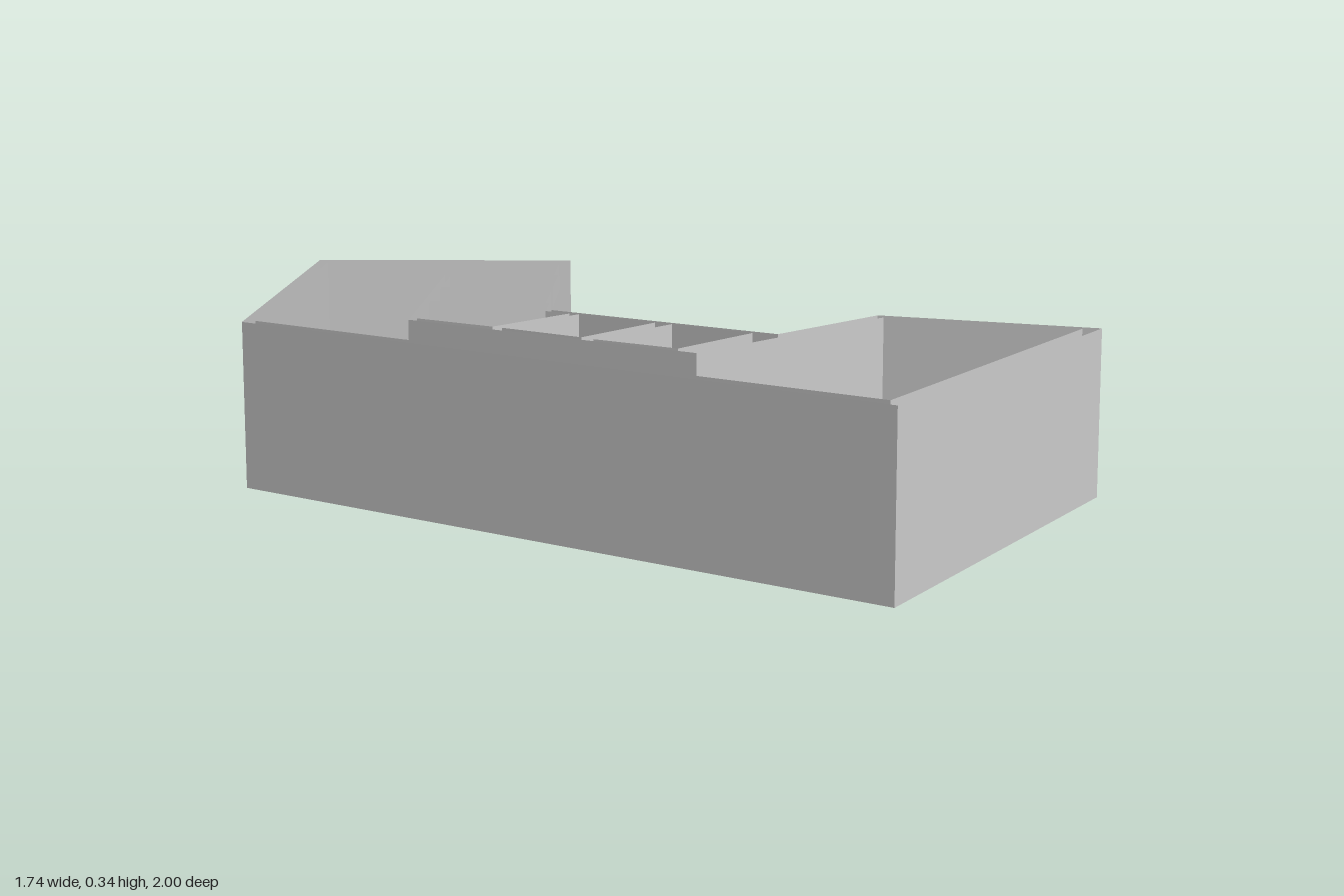
import * as THREE from 'three';

const H = 0.345, DOOR_H = 0.15, DOOR_W = 0.07, FLOOR_Y = 0.003;

// Plans as [x, z] corners
const OUTLINE = [[-0.87, -1], [-0.255, -1], [-0.25, -0.125], [0.215, 0.21], [0.43, -0.055], [0.865, 0.125], [0.388, 1], [-0.87, 0.055]];
const CORRIDOR = [[-0.845, -0.97], [-0.28, -0.97], [-0.28, -0.72], [-0.535, -0.72], [-0.535, 0.02], [0.055, 0.45],
  [0.44, -0.025], [0.825, 0.13], [0.38, 0.95], [-0.845, 0.04]];
const CELLS = [
  [[-0.52, -0.70], [-0.27, -0.70], [-0.27, -0.49], [-0.52, -0.49]],
  [[-0.52, -0.46], [-0.27, -0.46], [-0.27, -0.255], [-0.52, -0.255]],
  [[-0.52, -0.23], [-0.262, -0.23], [-0.262, -0.11], [-0.21, -0.075], [-0.355, 0.115], [-0.52, 0]],
  [[-0.19, -0.065], [-0.03, 0.055], [-0.17, 0.255], [-0.335, 0.13]],
  [[0.005, 0.075], [0.165, 0.195], [0.02, 0.395], [-0.145, 0.28]],
];
const DOORS = [[-0.528, -0.555], [-0.528, -0.395], [-0.528, -0.175], [-0.305, 0.18], [-0.115, 0.315]];

// Beds: centre x, z, turn, has mattress
const BEDS = [
  [-0.335, -0.655, 0, true], [-0.335, -0.42, 0, false], [-0.348, 0.033, 0.95, true],
  [-0.103, 0.092, 0.93, true], [0.03, 0.253, -0.62, true],
];

const material = new THREE.MeshStandardMaterial({ color: 0xcccccc, flatShading: true, side: THREE.DoubleSide });

function add(parent, name, geometry) {
  const mesh = new THREE.Mesh(geometry, material);
  mesh.name = name;
  parent.add(mesh);
  return mesh;
}

// Flat horizontal polygon at height y
function slab(parent, name, points, y) {
  const shape = new THREE.Shape(points.map(([x, z]) => new THREE.Vector2(x, -z)));
  const mesh = add(parent, name, new THREE.ShapeGeometry(shape).rotateX(-Math.PI / 2));
  mesh.position.y = y;
}

// Upright face from a to b, with notches at the given distances along it
function wallFace(parent, name, a, b, height, notches = []) {
  const length = Math.hypot(b[0] - a[0], b[1] - a[1]);
  const shape = new THREE.Shape();
  shape.moveTo(0, 0);
  for (const t of [...notches].sort((p, q) => p - q)) {
    const l = t - DOOR_W / 2, r = t + DOOR_W / 2;
    shape.lineTo(l, 0).lineTo(l, DOOR_H).lineTo(r, DOOR_H).lineTo(r, 0);
  }
  shape.lineTo(length, 0).lineTo(length, height).lineTo(0, height);
  const mesh = add(parent, name, new THREE.ShapeGeometry(shape));
  mesh.position.set(a[0], 0, a[1]);
  mesh.rotation.y = -Math.atan2(b[1] - a[1], b[0] - a[0]);
}

// Faces round a plan; records where each doorway crosses a face
function wallLoop(parent, name, plan, openings) {
  plan.forEach((a, i) => {
    const b = plan[(i + 1) % plan.length];
    const length = Math.hypot(b[0] - a[0], b[1] - a[1]);
    const dx = (b[0] - a[0]) / length, dz = (b[1] - a[1]) / length;
    const notches = [];
    if (openings) DOORS.forEach(([x, z], d) => {
      const px = x - a[0], pz = z - a[1];
      const along = px * dx + pz * dz;
      if (Math.abs(px * dz - pz * dx) > 0.025 || along < 0 || along > length) return;
      notches.push(along);
      const ends = [-1, 1].map(s => along + s * DOOR_W / 2).map(t => [a[0] + dx * t, a[1] + dz * t]);
      // Keep the ends in the same order on both faces
      ends.sort((p, q) => (p[1] + p[0] * 0.1) - (q[1] + q[0] * 0.1));
      openings[d].push(ends);
    });
    wallFace(parent, name, a, b, H, notches);
  });
}

function makeBed(hasMattress) {
  const bed = new THREE.Group();
  bed.name = 'bed';
  const L = 0.13, W = 0.08, top = 0.04;
  const box = (name, w, h, d, x, y, z) => add(bed, name, new THREE.BoxGeometry(w, h, d)).position.set(x, y, z);
  for (const s of [-1, 1]) {
    box('sideRail', L, 0.008, 0.005, 0, top, s * (W / 2 - 0.0025));
    box('endRail', 0.005, 0.008, W, s * (L / 2 - 0.0025), top, 0);
    for (const t of [-1, 1]) box('leg', 0.006, top, 0.006, s * (L / 2 - 0.003), top / 2, t * (W / 2 - 0.003));
  }
  for (let i = 0; i < 8; i++) box('slat', 0.008, 0.003, W - 0.01, -0.054 + i * 0.0154, top, 0);
  if (hasMattress) box('mattress', L - 0.008, 0.015, W - 0.008, 0, top + 0.009, 0);
  return bed;
}

export function createModel() {
  const model = new THREE.Group();
  model.name = 'cellBlock';
  const openings = DOORS.map(() => []);

  // Outer shell, corridor and cells, open at the top
  wallLoop(model, 'outerWall', OUTLINE);
  wallLoop(model, 'corridorWall', CORRIDOR, openings);
  slab(model, 'corridorFloor', CORRIDOR, FLOOR_Y);
  for (const plan of CELLS) {
    wallLoop(model, 'cellWall', plan, openings);
    slab(model, 'cellFloor', plan, FLOOR_Y);
  }

  // Doorway linings through the wall
  for (const [p, q] of openings) {
    if (!p || !q) continue;
    const plan = [p[0], p[1], q[1], q[0]];
    slab(model, 'threshold', plan, FLOOR_Y);
    slab(model, 'lintel', plan, DOOR_H);
    for (const k of [0, 1]) wallFace(model, 'doorJamb', p[k], q[k], DOOR_H);
  }

  // Door leaf at the end of the corridor
  add(model, 'endDoor', new THREE.BoxGeometry(0.005, DOOR_H, 0.11)).position.set(-0.283, DOOR_H / 2 + FLOOR_Y, -0.865);

  for (const [x, z, turn, hasMattress] of BEDS) {
    const bed = makeBed(hasMattress);
    bed.position.set(x, FLOOR_Y, z);
    bed.rotation.y = turn;
    model.add(bed);
  }
  return model;
}
